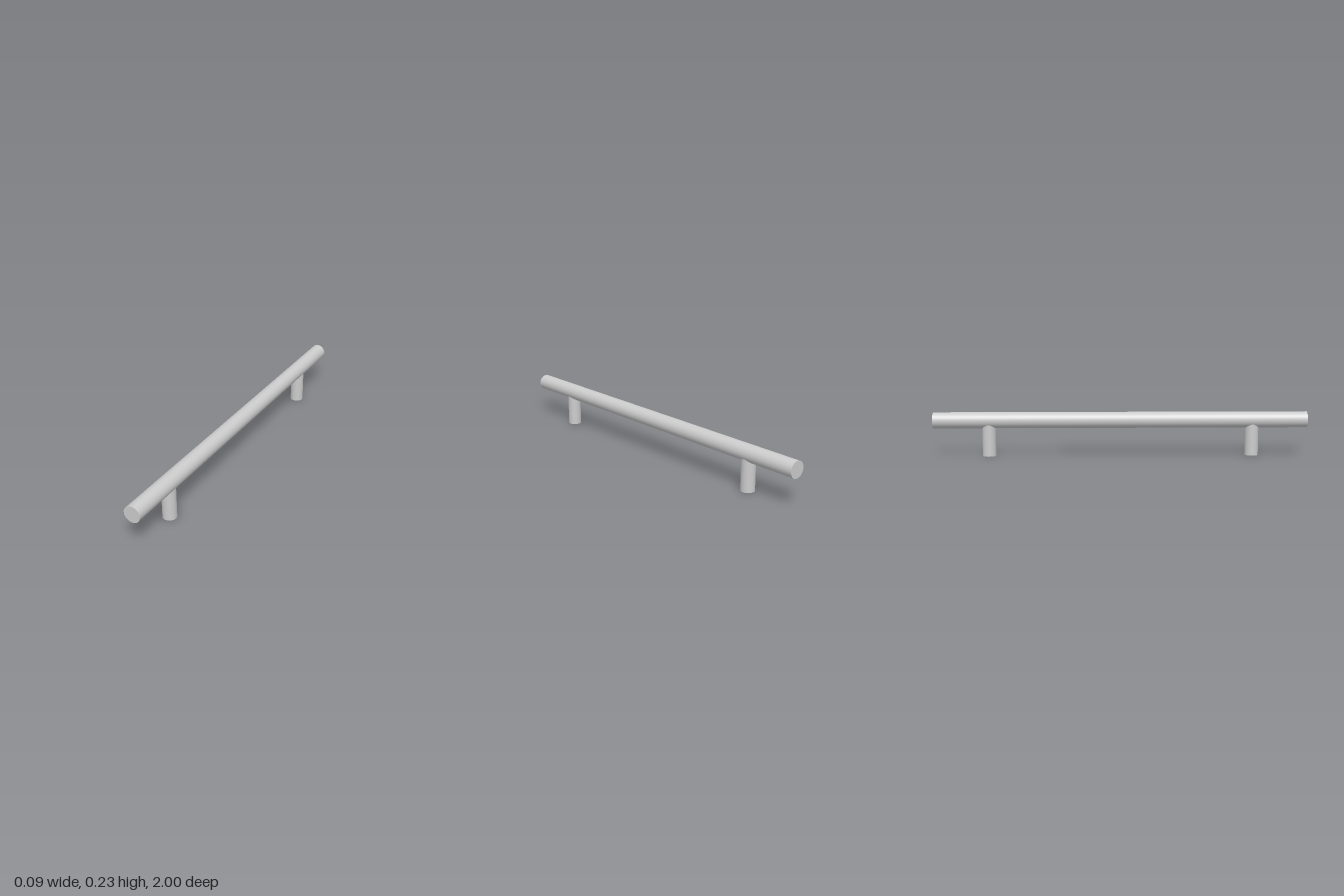
import * as THREE from 'three';
import { mergeGeometries } from 'three/addons/utils/BufferGeometryUtils.js';

const BAR_RADIUS = 0.043, BAR_Y = 0.192, BAR_LENGTH = 2;
const POST_RADIUS = 0.036, POST_Z = 0.705;
const SIDES = 64;

// Upright post whose open top edge follows the underside of the bar
function postGeometry() {
  const wall = new THREE.CylinderGeometry(POST_RADIUS, POST_RADIUS, 1, SIDES, 1, true);
  wall.translate(0, 0.5, 0);
  const pos = wall.attributes.position;
  for (let i = 0; i < pos.count; i++) {
    if (pos.getY(i) < 0.5) continue;
    const x = pos.getX(i);
    pos.setY(i, BAR_Y - Math.sqrt(BAR_RADIUS ** 2 - x * x) + 0.001);
  }
  const foot = new THREE.CircleGeometry(POST_RADIUS, SIDES).rotateX(Math.PI / 2);
  return mergeGeometries([wall, foot]);
}

export function createModel() {
  const group = new THREE.Group();
  group.name = 'barHandle';
  const material = new THREE.MeshStandardMaterial({ color: 0xcccccc });

  // Long round grip running front to back
  const bar = new THREE.Mesh(
    new THREE.CylinderGeometry(BAR_RADIUS, BAR_RADIUS, BAR_LENGTH, SIDES).rotateX(Math.PI / 2),
    material
  );
  bar.name = 'gripBar';
  bar.position.y = BAR_Y;
  group.add(bar);

  // Two mounting posts
  const geometry = postGeometry();
  for (const [name, side] of [['frontPost', 1], ['backPost', -1]]) {
    const post = new THREE.Mesh(geometry, material);
    post.name = name;
    post.position.z = side * POST_Z;
    group.add(post);
  }
  return group;
}
